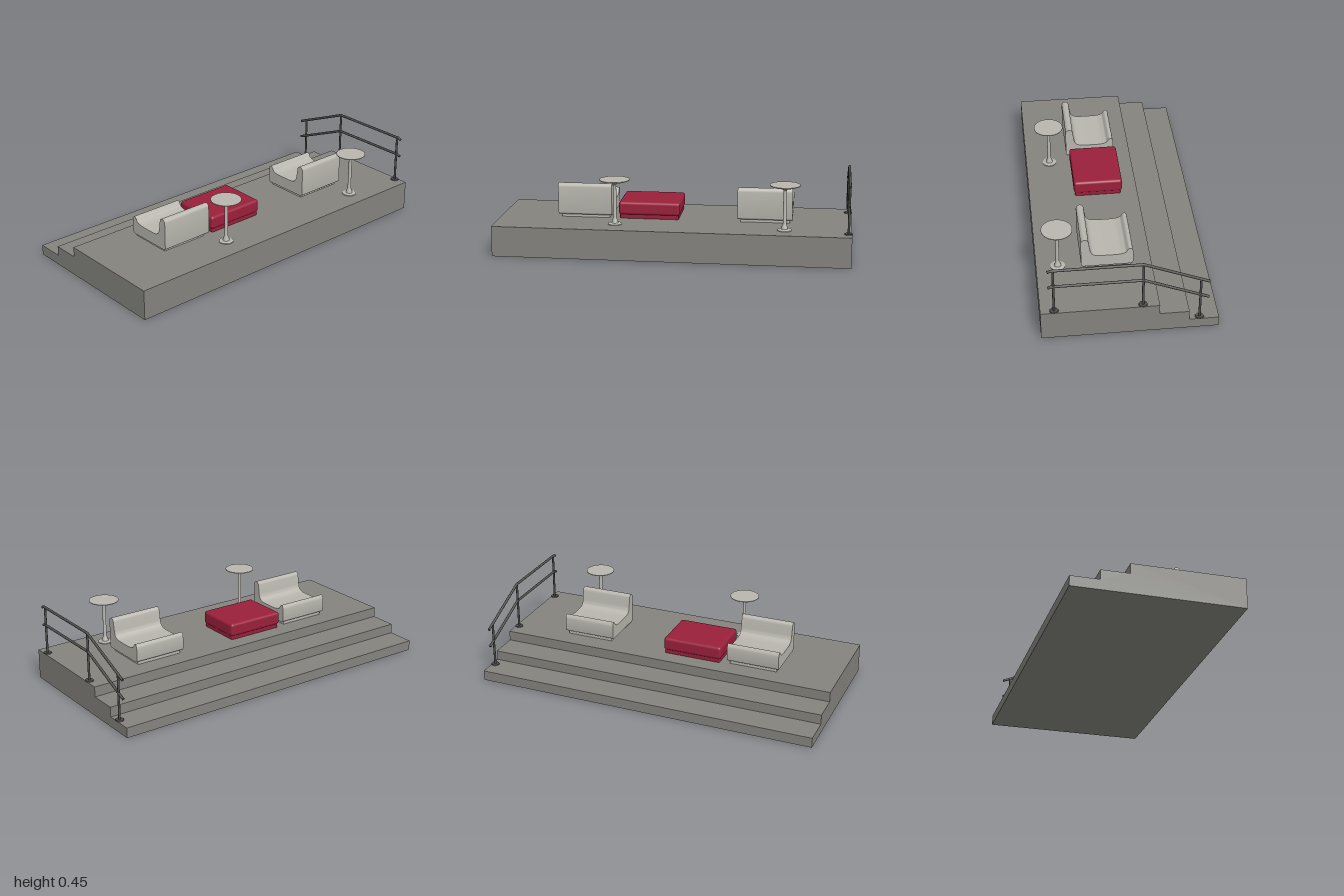
import * as THREE from 'three';
import { toCreasedNormals } from 'three/addons/utils/BufferGeometryUtils.js';
import { RoundedBoxGeometry } from 'three/addons/geometries/RoundedBoxGeometry.js';

const mat = (name, color) => Object.assign(new THREE.MeshStandardMaterial({ color }), { name });

export function createModel() {
  const stone = mat('stone grey', 0x84837e);
  const pale = mat('pale grey', 0xb8b6ae);
  const red = mat('crimson', 0x9a203b);
  const metal = mat('dark metal', 0x4e4e4d);

  const model = new THREE.Group();
  model.name = 'terrace';
  const DECK = 0.172;

  function add(parent, name, geometry, material, x = 0, y = 0, z = 0) {
    const mesh = new THREE.Mesh(geometry, material);
    mesh.name = name;
    mesh.position.set(x, y, z);
    parent.add(mesh);
    return mesh;
  }

  function group(name, x, y, z) {
    const g = new THREE.Group();
    g.name = name;
    g.position.set(x, y, z);
    model.add(g);
    return g;
  }

  // Side profile (x = -z, y) extruded along +x and centred
  function sideExtrude(shape, width) {
    const g = new THREE.ExtrudeGeometry(shape, { depth: width, bevelEnabled: false, curveSegments: 10 });
    g.translate(0, 0, -width / 2);
    g.rotateY(Math.PI / 2);
    return toCreasedNormals(g, 0.6);
  }

  // Stepped platform, six modules side by side
  const steps = new THREE.Shape([
    [-0.473, 0], [0.473, 0], [0.473, 0.058], [0.313, 0.058],
    [0.313, 0.114], [0.155, 0.114], [0.155, DECK], [-0.473, DECK],
  ].map(([x, y]) => new THREE.Vector2(x, y)));
  const moduleWidth = 1.99 / 6;
  const moduleGeometry = sideExtrude(steps, moduleWidth);
  for (let i = 0; i < 6; i++) {
    add(model, 'platformModule', moduleGeometry, stone, -1 + (i + 0.5) * moduleWidth);
  }

  // Lounge seats: tall back at +z, scooped seat, raised lip at -z
  const seat = new THREE.Shape();
  seat.moveTo(-0.217, 0.19);
  seat.lineTo(0.040, 0.19);
  seat.quadraticCurveTo(0.052, 0.192, 0.053, 0.207);
  seat.lineTo(0.053, 0.268);
  seat.bezierCurveTo(0.052, 0.302, 0.028, 0.302, 0.020, 0.278);
  seat.bezierCurveTo(0.012, 0.262, -0.010, 0.260, -0.040, 0.258);
  seat.lineTo(-0.120, 0.258);
  seat.bezierCurveTo(-0.165, 0.258, -0.178, 0.272, -0.182, 0.305);
  seat.lineTo(-0.189, 0.352);
  seat.bezierCurveTo(-0.192, 0.380, -0.230, 0.378, -0.231, 0.350);
  seat.lineTo(-0.231, 0.207);
  seat.quadraticCurveTo(-0.231, 0.192, -0.217, 0.19);
  const seatGeometry = sideExtrude(seat, 0.307);
  const plinthGeometry = new THREE.BoxGeometry(0.277, 0.02, 0.245);
  for (const x of [-0.514, 0.506]) {
    const chair = group('loungeSeat', x, 0, 0);
    add(chair, 'seatBody', seatGeometry, pale);
    add(chair, 'seatPlinth', plinthGeometry, pale, 0, DECK + 0.01, 0.083);
  }

  // Upholstered ottoman
  const ottoman = group('ottoman', -0.15, 0, 0.075);
  add(ottoman, 'ottomanCushion', new RoundedBoxGeometry(0.35, 0.076, 0.28, 4, 0.016), red, 0, 0.231, 0);
  add(ottoman, 'ottomanBase', new RoundedBoxGeometry(0.336, 0.04, 0.266, 3, 0.008), red, 0, 0.188, 0);

  // Round pedestal tables, turned as one profile
  const tableProfile = [
    [0, 0], [0.04, 0], [0.04, 0.004], [0.019, 0.008], [0.015, 0.022], [0.0095, 0.038],
    [0.0095, 0.225], [0.018, 0.236], [0.035, 0.241], [0.07, 0.247], [0.084, 0.252],
    [0.084, 0.256], [0, 0.256],
  ].map(([x, y]) => new THREE.Vector2(x, y));
  const tableGeometry = toCreasedNormals(new THREE.LatheGeometry(tableProfile, 32), 0.5);
  for (const [x, z] of [[-0.325, 0.335], [0.621, 0.355]]) {
    add(group('pedestalTable', x, DECK, z), 'tableBody', tableGeometry, pale);
  }

  // Handrail: two bent rails on three posts
  const railing = group('handrail', 0.971, 0, 0);
  for (const [name, y] of [['topRail', 0.447], ['middleRail', 0.34]]) {
    const path = new THREE.CurvePath();
    const points = [[y - 0.007, 0.429], [y, 0.412], [y, -0.068], [y - 0.146, -0.415]]
      .map(([py, z]) => new THREE.Vector3(0, py, z));
    for (let i = 0; i < 3; i++) {
      const direction = points[i + 1].clone().sub(points[i]);
      const length = direction.length();
      const tube = new THREE.CylinderGeometry(0.0075, 0.0075, length, 12);
      const mesh = add(railing, name, tube, metal);
      mesh.position.copy(points[i]).addScaledVector(direction, 0.5);
      mesh.quaternion.setFromUnitVectors(new THREE.Vector3(0, 1, 0), direction.normalize());
      // Round joint at each bend
      if (i > 0) add(railing, name + 'Joint', new THREE.SphereGeometry(0.0075, 12, 8), metal, 0, points[i].y, points[i].z);
    }
  }
  for (const [z, bottom, top] of [[0.4, DECK, 0.445], [-0.067, DECK, 0.445], [-0.37, 0.058, 0.318]]) {
    add(railing, 'railPost', new THREE.CylinderGeometry(0.0065, 0.0065, top - bottom, 12), metal, 0, (top + bottom) / 2, z);
    add(railing, 'postFoot', new THREE.CylinderGeometry(0.022, 0.024, 0.005, 20), metal, 0, bottom + 0.0025, z);
  }

  return model;
}
